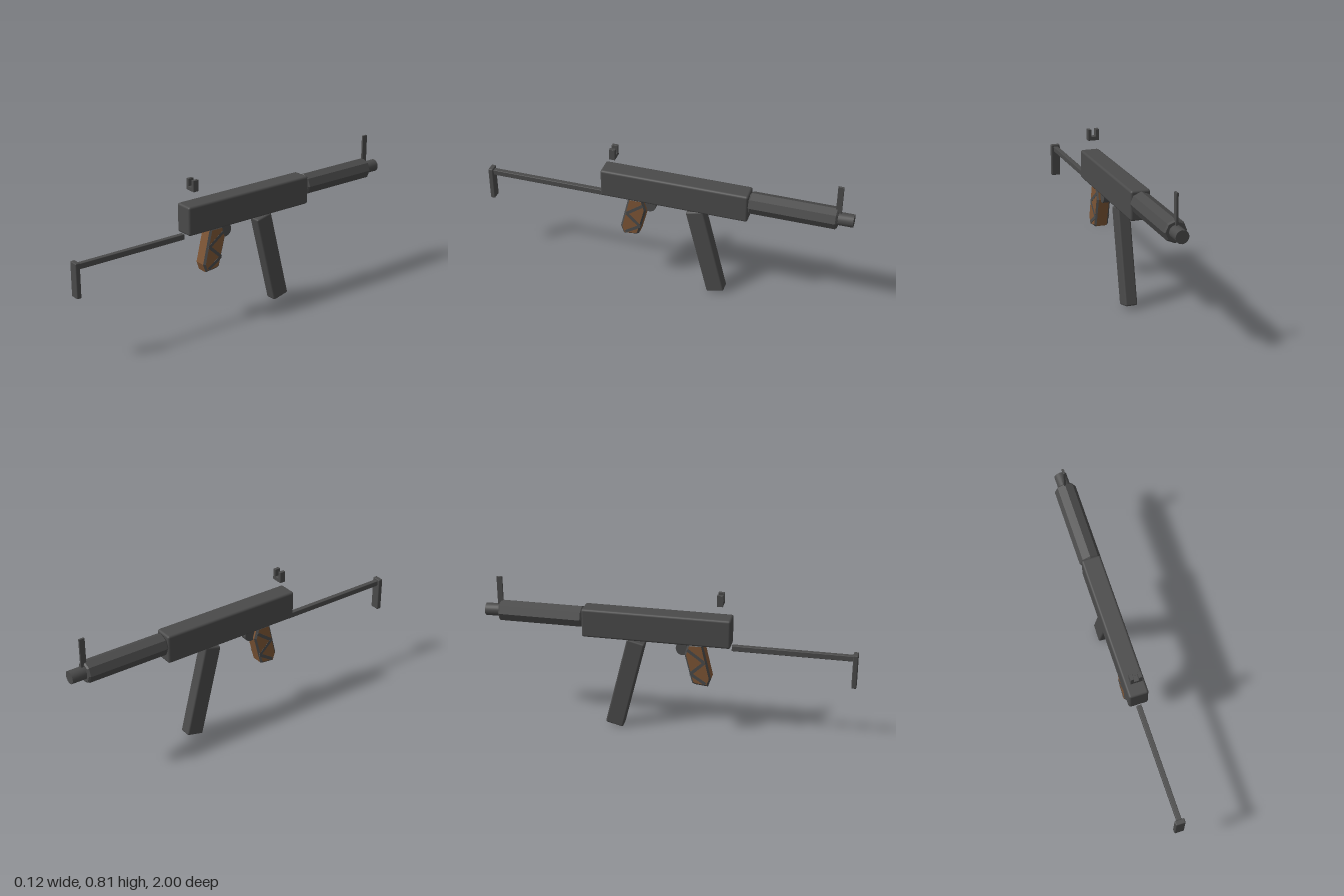
import * as THREE from 'three';
import { RoundedBoxGeometry } from 'three/addons/geometries/RoundedBoxGeometry.js';
import { toCreasedNormals } from 'three/addons/utils/BufferGeometryUtils.js';

const gunmetal = new THREE.MeshStandardMaterial({ color: 0x4a4a4a });
gunmetal.name = 'gunmetal';
const wood = new THREE.MeshStandardMaterial({ color: 0x7d5535 });
wood.name = 'wood';

export function createModel() {
  const model = new THREE.Group();
  model.name = 'submachineGun';

  const add = (name, geometry, material = gunmetal, parent = model) => {
    const mesh = new THREE.Mesh(geometry, material);
    mesh.name = name;
    parent.add(mesh);
    return mesh;
  };
  // Softened box given by its centre and size
  const box = (name, [x, y, z], [w, h, d], radius, parent = model) => {
    const mesh = add(name, new RoundedBoxGeometry(w, h, d, 2, radius), gunmetal, parent);
    mesh.position.set(x, y, z);
    return mesh;
  };
  // Extrusion of a (z, y) outline, centred across x
  const profile = (points, depth, bevel) => {
    const shape = new THREE.Shape(points.map(([z, y]) => new THREE.Vector2(z, y)));
    const options = { depth, bevelEnabled: !!bevel };
    if (bevel) Object.assign(options, { bevelSegments: 1, bevelThickness: bevel, bevelSize: bevel, bevelOffset: -bevel });
    return new THREE.ExtrudeGeometry(shape, options).translate(0, 0, -depth / 2).rotateY(-Math.PI / 2);
  };
  // Turned part along z; profile points are [radius, distance forward]
  const turned = (name, points, sides, y, z) => {
    const geometry = new THREE.LatheGeometry(points.map(([r, d]) => new THREE.Vector2(r, d)), sides);
    const mesh = add(name, toCreasedNormals(geometry.rotateX(-Math.PI / 2), 0.5));
    mesh.position.set(0, y, z);
  };

  // Body and magazine
  box('receiver', [0, 0.62, -0.06], [0.105, 0.158, 0.8], 0.012);
  box('magazine', [0, 0.276, -0.233], [0.066, 0.518, 0.099], 0.009).rotation.x = 0.244;

  // Octagonal barrel shroud and round muzzle
  turned('barrelShroud', [[0, 0], [0.051, 0], [0.059, 0.008], [0.059, 0.452], [0.051, 0.46], [0, 0.46]], 8, 0.637, -0.46);
  turned('muzzle', [[0, 0], [0.034, 0], [0.034, 0.09], [0, 0.09]], 20, 0.637, -0.91);

  // Sights
  box('frontSight', [0, 0.75, -0.919], [0.011, 0.158, 0.03], 0.001);
  const rearSight = new THREE.Group();
  rearSight.name = 'rearSight';
  model.add(rearSight);
  box('rearSightBase', [0, 0.7775, 0.278], [0.062, 0.021, 0.032], 0.001, rearSight);
  for (const side of [-1, 1]) {
    box('rearSightProng', [side * 0.022, 0.806, 0.278], [0.018, 0.044, 0.032], 0.001, rearSight);
  }

  // Stock
  box('stockRod', [0, 0.53, 0.66], [0.026, 0.03, 0.636], 0.003);
  box('buttPlate', [0, 0.461, 0.987], [0.052, 0.188, 0.026], 0.005);

  // Trigger disc
  const trigger = add('trigger', new THREE.CylinderGeometry(0.038, 0.038, 0.036, 20).rotateZ(Math.PI / 2));
  trigger.position.set(0, 0.508, 0.082);

  // Pistol grip: wooden core, side panels with dark chamfers
  const grip = new THREE.Group();
  grip.name = 'pistolGrip';
  model.add(grip);
  const outline = [[0.192, 0.545], [0.112, 0.545], [0.094, 0.482], [0.136, 0.321], [0.153, 0.313], [0.222, 0.306], [0.238, 0.352]];
  add('gripCore', profile(outline, 0.058), wood, grip);
  const panel = profile(outline, 0.058, 0.01);
  add('gripPanels', panel, [wood, gunmetal], grip);

  // Zigzag inlays on both sides of the grip
  const zigzag = [[0.11, 0.512], [0.202, 0.445], [0.128, 0.375], [0.21, 0.322]];
  for (const side of [-1, 1]) {
    for (let i = 0; i < zigzag.length - 1; i++) {
      const [z0, y0] = zigzag[i], [z1, y1] = zigzag[i + 1];
      const length = Math.hypot(z1 - z0, y1 - y0);
      const inlay = add('gripInlay', new THREE.BoxGeometry(0.003, 0.017, length), gunmetal, grip);
      inlay.position.set(side * 0.0385, (y0 + y1) / 2, (z0 + z1) / 2);
      inlay.rotation.x = -Math.atan2(y1 - y0, z1 - z0);
    }
  }
  return model;
}
